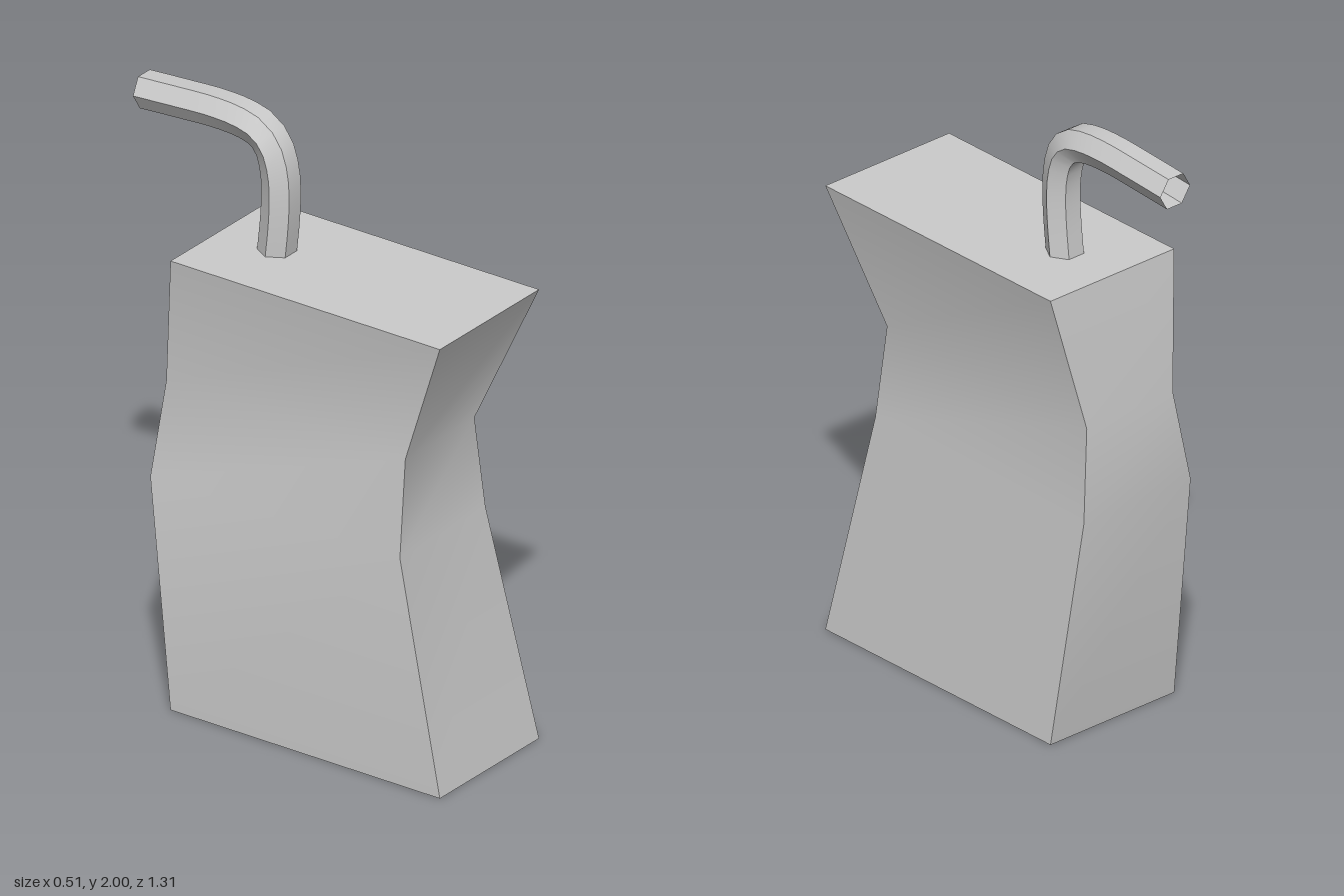
import * as THREE from 'three';
import { toCreasedNormals } from 'three/addons/utils/BufferGeometryUtils.js';

const CREASE = 0.7;

// Carton cross-sections from bottom to top: y, xMin, xMax, zMin, zMax
const SECTIONS = [
  [0, -0.255, 0.255, -0.365, 0.655],
  [0.77, -0.25, 0.19, -0.445, 0.5],
  [1.08, -0.195, 0.16, -0.425, 0.48],
  [1.53, -0.255, 0.255, -0.365, 0.655],
];

// Straw centreline as [y, z], bending towards the back
const STRAW_PATH = [
  [1.525, -0.15], [1.64, -0.138], [1.74, -0.134], [1.81, -0.14], [1.875, -0.16],
  [1.92, -0.2], [1.94, -0.26], [1.947, -0.36], [1.94, -0.5], [1.93, -0.65],
];

// Box whose rings of corners are moved onto the squeezed cross-sections
function cartonGeometry() {
  const geometry = new THREE.BoxGeometry(1, 1, 1, 1, SECTIONS.length - 1, 1);
  const p = geometry.attributes.position;
  for (let i = 0; i < p.count; i++) {
    const ring = Math.round((p.getY(i) + 0.5) * (SECTIONS.length - 1));
    const [y, x0, x1, z0, z1] = SECTIONS[ring];
    p.setXYZ(i, p.getX(i) < 0 ? x0 : x1, y, p.getZ(i) < 0 ? z0 : z1);
  }
  return toCreasedNormals(geometry, CREASE);
}

// Open six-sided tube along the bent path
function strawGeometry() {
  const path = new THREE.CatmullRomCurve3(STRAW_PATH.map(([y, z]) => new THREE.Vector3(0, y, z)));
  return toCreasedNormals(new THREE.TubeGeometry(path, 20, 0.061, 6), CREASE);
}

export function createModel() {
  const model = new THREE.Group();
  model.name = 'drinkCarton';

  const carton = new THREE.Mesh(cartonGeometry(), new THREE.MeshStandardMaterial({ color: 0xcccccc }));
  carton.name = 'carton';

  const straw = new THREE.Mesh(
    strawGeometry(),
    new THREE.MeshStandardMaterial({ color: 0xcccccc, side: THREE.DoubleSide })
  );
  straw.name = 'straw';

  model.add(carton, straw);
  return model;
}
